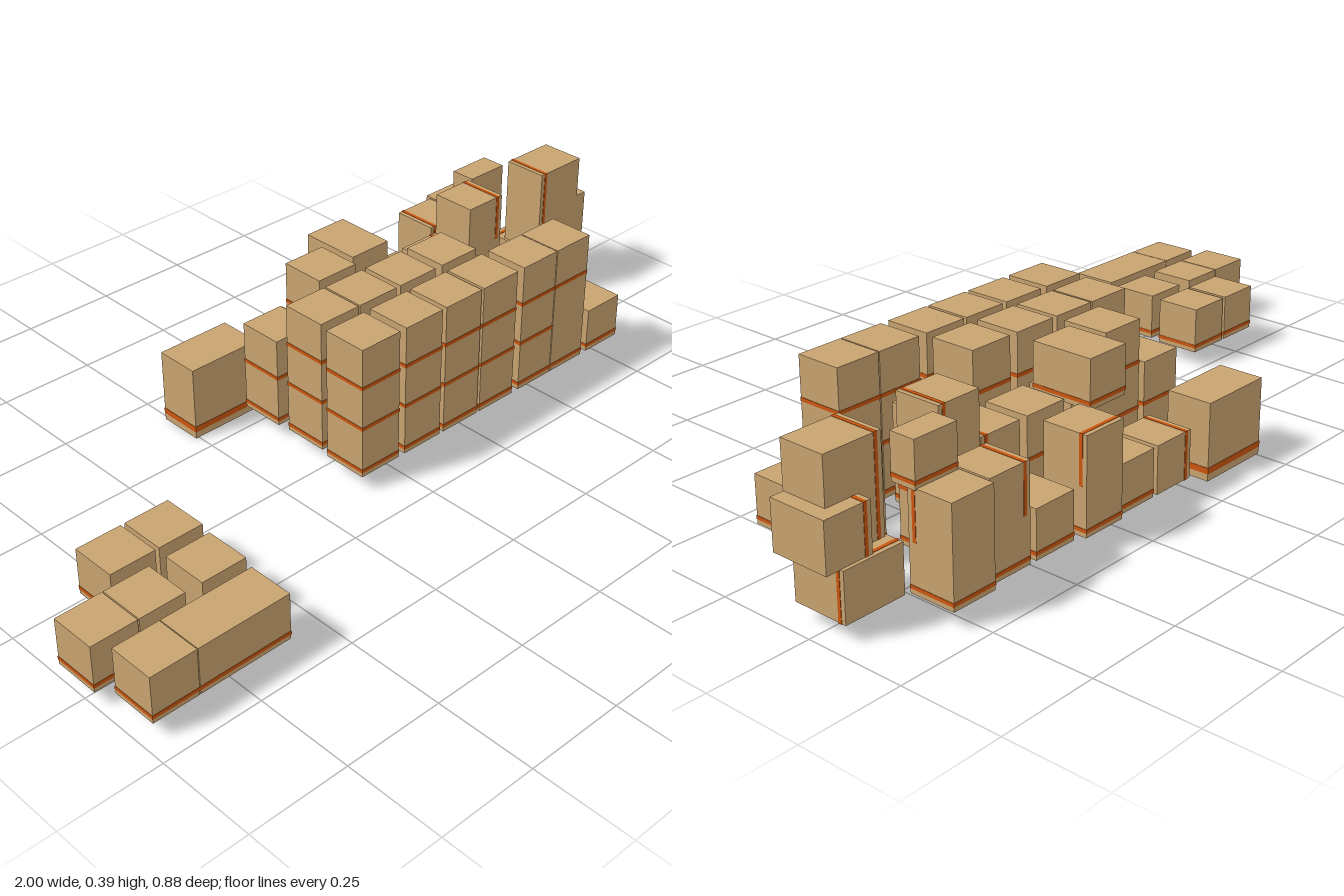
import * as THREE from 'three';

const cardboard = new THREE.MeshStandardMaterial({ color: 0xc8a370 });
const tape = new THREE.MeshStandardMaterial({ color: 0xcc560f });

const W = 0.118;                      // edge of a single crate
const LEVEL = [0.04, 0.157, 0.267];   // underside of each layer
const COLS = [-0.052, 0.08, 0.205, 0.34, 0.475, 0.605, 0.738];
const ROWS = [0.075, -0.07, -0.218, -0.362];

// A crate with a thin coloured band near one end of the chosen axis
function crate(name, x, y, z, size = [W, W, W], axis = 'y', end = -1) {
  const g = new THREE.Group();
  g.name = name;
  g.position.set(x, y + size[1] / 2, z);
  const body = new THREE.Mesh(new THREE.BoxGeometry(...size), cardboard);
  body.name = 'crateBody';
  const i = 'xyz'.indexOf(axis);
  const bandSize = size.map((s, k) => (k === i ? 0.009 : s + 0.002));
  const band = new THREE.Mesh(new THREE.BoxGeometry(...bandSize), tape);
  band.name = 'crateBand';
  band.position.setComponent(i, end * (size[i] / 2 - 0.0155));
  g.add(body, band);
  return g;
}

export function createModel() {
  const model = new THREE.Group();
  model.name = 'crateStack';

  // Columns filled in each row of each layer, front row first
  const layers = [
    [[0, 1, 2, 3, 4, 5, 6], [0, 1, 2, 3, 4, 6], [0, 1, 2, 3, 4, 5], [1, 2, 3, 4, 5, 6]],
    [[0, 1, 2, 3, 4, 5], [0, 1, 2, 3, 4], [0, 1, 2, 3, 4, 5], [3, 5, 6]],
    [[0, 1, 2, 3, 4, 5], [0, 1, 2, 3], [1, 5], []],
  ];
  // Crates lying on their side: layer,row,column -> band axis and end
  const turned = {
    '0,3,1': ['x', -1], '1,0,5': ['z', -1], '1,2,4': ['x', 1],
    '1,3,3': ['z', -1], '1,3,5': ['x', -1], '1,3,6': ['z', 1],
    '2,2,5': ['x', 1],
  };
  layers.forEach((rows, l) => rows.forEach((cols, r) => cols.forEach((c) => {
    const shift = ((c * 7 + r * 3 + l * 5) % 5 - 2) * 0.003;
    const [axis, end] = turned[`${l},${r},${c}`] || ['y', -1];
    const z = ROWS[r] + (r === 3 && c === 3 ? -0.014 : 0) + (r === 3 && c === 6 ? -0.018 : 0);
    model.add(crate('stackedCrate', COLS[c] + shift, LEVEL[l], z, [W, W, W], axis, end));
  })));

  // Shifted crates on top
  model.add(crate('overhangingCrate', 0.219, LEVEL[2], -0.267, [W, W, 0.16]));
  model.add(crate('topRearCrate', 0.738, 0.272, -0.313, [W, 0.108, 0.066]));

  // Pile at the left end
  model.add(crate('endBaseCrate', 0.886, LEVEL[0], -0.247, [0.158, W, 0.143], 'z'));
  model.add(crate('endTallCrate', 0.89, LEVEL[1], -0.217, [0.15, 0.23, W], 'x'));
  model.add(crate('endOuterCrate', 0.94, LEVEL[1], -0.235, [0.12, W, 0.15], 'x'));

  // Wide crate standing lower at the rear
  const wide = crate('wideLowCrate', -0.158, 0, -0.358, [0.2, 0.193, W]);
  wide.children[1].scale.y = 1.7;
  wide.children[1].position.y += 0.01;
  model.add(wide);

  // Separate single-layer group: x, z, width
  [
    [-0.778, 0.078, W], [-0.65, 0.078, W],
    [-0.941, 0.228, W], [-0.82, 0.228, W], [-0.658, 0.228, W],
    [-0.912, 0.377, W], [-0.731, 0.377, 0.24],
  ].forEach(([x, z, w]) => model.add(crate('looseCrate', x, LEVEL[0], z, [w, W, W])));

  return model;
}
